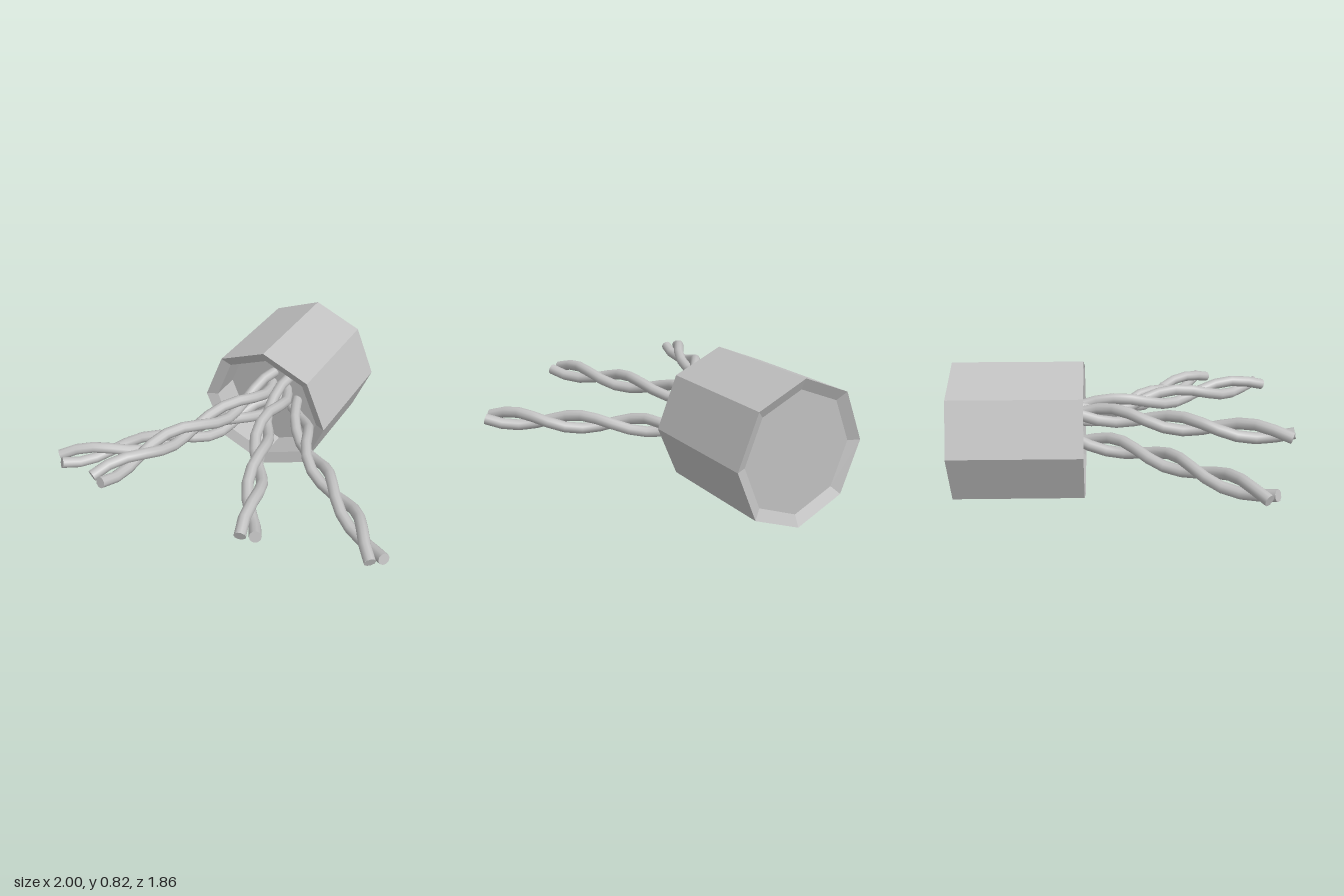
import * as THREE from 'three';

const grey = new THREE.MeshStandardMaterial({ color: 0xc0c0c0 });
grey.name = 'plain grey';

// Octagonal housing: bevelled recess at the back, deeper socket at the front
function makeHousing() {
  const R = 0.41, inner = 0.345, back = -0.94, front = -0.21;
  const profile = [
    [0, back + 0.03], [inner, back + 0.03], [R, back], [R, front],
    [inner, front - 0.03], [inner, front - 0.21], [0, front - 0.21],
  ].map(([r, y]) => new THREE.Vector2(r, y));
  const geo = new THREE.LatheGeometry(profile, 8).rotateX(Math.PI / 2).toNonIndexed();
  geo.computeVertexNormals();
  const mesh = new THREE.Mesh(geo, grey);
  mesh.name = 'housing';
  mesh.position.set(-0.136, 0.41, 0);
  return mesh;
}

// Two strands wound around a centre line given as [x, z] points at height y
function makeCord(name, y, points) {
  const offset = 0.038, radius = 0.032, halfTurn = 0.39;
  const centre = new THREE.CatmullRomCurve3(points.map(([x, z]) => new THREE.Vector3(x, y, z)));
  const length = centre.getLength();
  const up = new THREE.Vector3(0, 1, 0);
  const steps = Math.round(length / 0.098);
  const cord = new THREE.Group();
  cord.name = name;
  for (const phase of [0, Math.PI]) {
    const path = [];
    for (let i = 0; i <= steps; i++) {
      const u = i / steps;
      const side = centre.getTangentAt(u).cross(up).normalize();
      const a = Math.PI / 2 + (u - 1) * length * Math.PI / halfTurn + phase;
      path.push(centre.getPointAt(u)
        .addScaledVector(up, Math.cos(a) * offset)
        .addScaledVector(side, Math.sin(a) * offset));
    }
    const curve = new THREE.CatmullRomCurve3(path);
    const strand = new THREE.Mesh(new THREE.TubeGeometry(curve, steps, radius, 10), grey);
    strand.name = 'strand';
    const cap = new THREE.Mesh(new THREE.CircleGeometry(radius, 10), grey);
    cap.name = 'strandEnd';
    const end = curve.getPointAt(1);
    cap.position.copy(end);
    cap.lookAt(end.clone().add(curve.getTangentAt(1)));
    cord.add(strand, cap);
  }
  return cord;
}

export function createModel() {
  const model = new THREE.Group();
  model.name = 'housingWithCords';
  model.add(
    makeHousing(),
    makeCord('lowerRightCord', 0.375,
      [[-0.12, -0.43], [-0.22, -0.2], [-0.28, -0.05], [-0.38, 0.11], [-0.53, 0.28], [-0.72, 0.48], [-0.95, 0.72]]),
    makeCord('upperRightCord', 0.527,
      [[-0.18, -0.43], [-0.18, -0.2], [-0.22, -0.03], [-0.27, 0.13], [-0.36, 0.36], [-0.44, 0.62], [-0.53, 0.9]]),
    makeCord('upperLeftCord', 0.515,
      [[-0.08, -0.43], [-0.03, -0.2], [-0.02, -0.07], [0.04, 0.11], [0.14, 0.34], [0.25, 0.59], [0.38, 0.875]]),
    makeCord('lowerLeftCord', 0.375,
      [[-0.03, -0.43], [0.14, -0.2], [0.22, -0.08], [0.33, 0.04], [0.49, 0.17], [0.7, 0.35], [0.955, 0.59]]),
  );
  return model;
}
